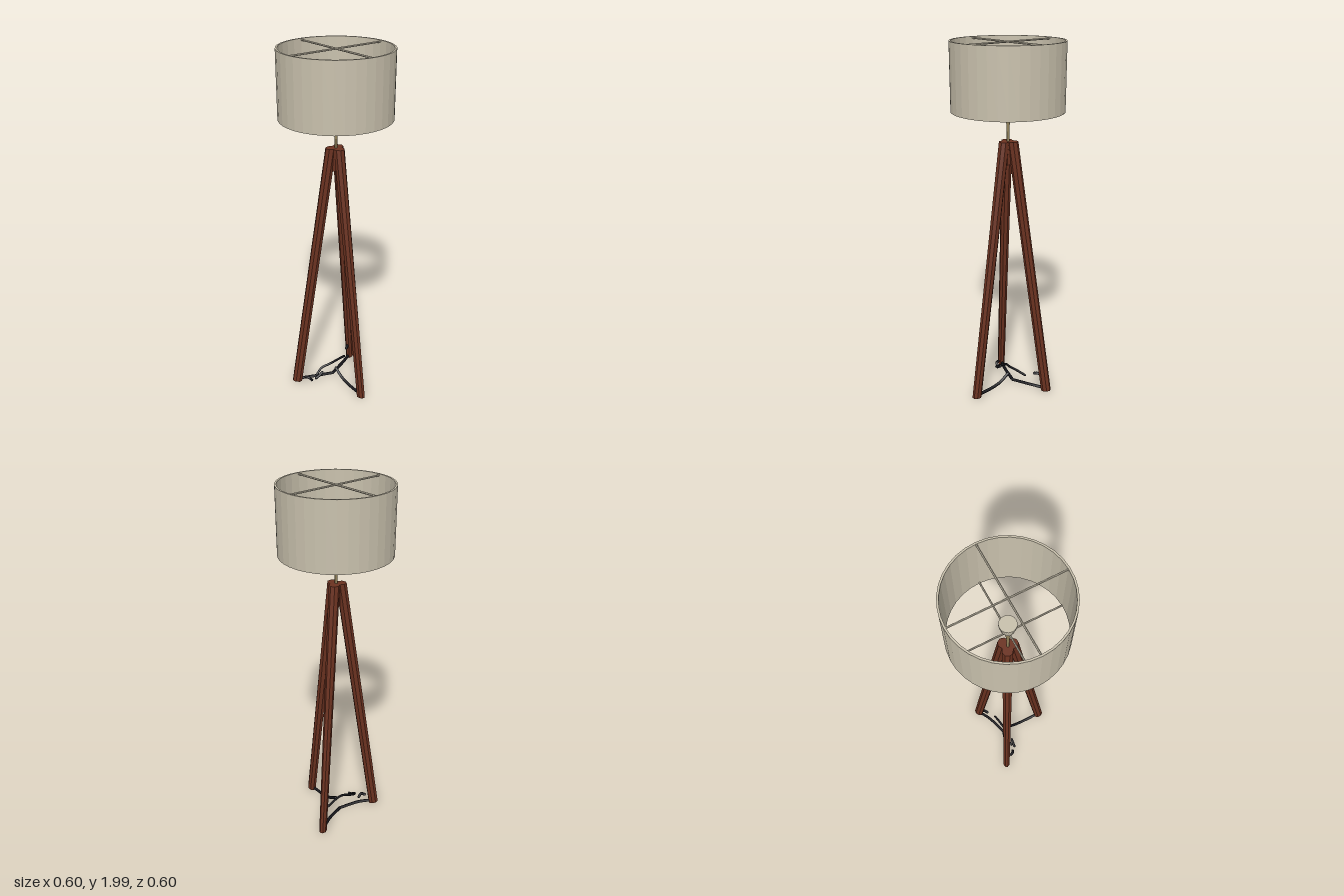
import * as THREE from 'three';

const mat = (name, color, flatShading = false) => {
  const m = new THREE.MeshStandardMaterial({ color, flatShading });
  m.name = name;
  return m;
};

export function createModel() {
  const group = new THREE.Group();
  const cream = mat('cream fabric', 0xc9c1ad, true);
  const wood = mat('red brown wood', 0x6b3220, true);
  const black = mat('black cord', 0x15151a);
  const brass = mat('dull brass', 0x94845c);

  const add = (name, geometry, material) => {
    const mesh = new THREE.Mesh(geometry, material);
    mesh.name = name;
    group.add(mesh);
    return mesh;
  };
  const lathe = (points, sides) =>
    new THREE.LatheGeometry(points.map(([r, y]) => new THREE.Vector2(r, y)), sides);
  const tube = (name, points, radius) => {
    const curve = new THREE.CatmullRomCurve3(points.map((p) => new THREE.Vector3(...p)));
    const mesh = add(name, new THREE.TubeGeometry(curve, 20, radius, 6), black);
    // round the two ends
    [points[0], points[points.length - 1]].forEach((p) => {
      const end = new THREE.Mesh(new THREE.SphereGeometry(radius, 6, 4), black);
      end.name = name + 'End';
      end.position.set(...p);
      mesh.add(end);
    });
  };

  // Open drum shade with a thin wall
  add('shade', lathe([
    [0.288, 1.645], [0.298, 1.645], [0.298, 2.0], [0.288, 2.0], [0.288, 1.645],
  ], 36), cream);

  // Crossed wires in both openings of the shade
  for (const y of [1.652, 1.992]) {
    for (const turn of [0, Math.PI / 2]) {
      const wire = add('shadeWire', new THREE.CylinderGeometry(0.005, 0.005, 0.582, 6), cream);
      wire.rotation.set(Math.PI / 2, 0, turn, 'ZXY');
      if (turn) wire.rotation.set(0, 0, Math.PI / 2);
      wire.position.y = y;
    }
  }

  // Flared stem and bulb holder
  add('stem', lathe([
    [0, 1.42], [0.007, 1.42], [0.007, 1.53], [0.01, 1.59], [0.014, 1.63], [0.02, 1.66], [0, 1.66],
  ], 12), brass);
  add('bulbHolder', lathe([
    [0, 1.655], [0.022, 1.655], [0.034, 1.68], [0.044, 1.725], [0.044, 1.738], [0, 1.738],
  ], 16), cream);

  // Three splayed legs: chamfered bars sheared outwards, slimmer at the foot
  const yFoot = 0.012, yTop = 1.485;
  const legGeometry = new THREE.CylinderGeometry(1, 1, 1, 8, 6);
  legGeometry.rotateY(Math.PI / 8);
  const pos = legGeometry.attributes.position;
  for (let i = 0; i < pos.count; i++) {
    const t = pos.getY(i) + 0.5;
    const radial = THREE.MathUtils.lerp(0.236, 0.027, t);
    const x = pos.getX(i) * 0.029;
    const z = pos.getZ(i) * THREE.MathUtils.lerp(0.021, 0.029, t);
    // the foot is cut square to the leg
    pos.setXYZ(i, radial + x, THREE.MathUtils.lerp(yFoot, yTop, t) + x * 0.14 * (1 - t), z);
  }
  legGeometry.computeVertexNormals();
  for (let i = 0; i < 3; i++) {
    add('leg', legGeometry, wood).rotation.y = (i * Math.PI * 2) / 3;
  }
  // Block joining the legs
  const block = add('legBlock', new THREE.CylinderGeometry(0.032, 0.025, 0.12, 8), wood);
  block.position.y = 1.42;

  // Low three-way brace between the feet
  tube('braceArm', [[0.225, 0.024, 0], [0.13, 0.026, 0], [0.06, 0.04, 0], [0, 0.075, 0]], 0.009);
  for (const side of [-1, 1]) {
    tube('braceArm', [
      [-0.12, 0.022, side * 0.205], [-0.075, 0.026, side * 0.12], [-0.035, 0.018, 0],
    ], 0.009);
  }

  // Loose cord looping over the brace
  tube('cord', [
    [-0.035, 0.06, 0.12], [-0.045, 0.085, 0.075], [-0.03, 0.1, 0.02], [-0.035, 0.1, -0.04], [-0.045, 0.092, -0.1],
  ], 0.007);
  tube('cordEnd', [[-0.018, 0.075, 0.09], [-0.02, 0.06, 0.11], [-0.022, 0.05, 0.135]], 0.008);
  tube('cordEnd', [[-0.045, 0.03, 0.15], [-0.05, 0.05, 0.165], [-0.07, 0.05, 0.175]], 0.009);
  tube('cordEnd', [[-0.08, 0.112, -0.145], [-0.09, 0.115, -0.16], [-0.1, 0.11, -0.17]], 0.009);

  return group;
}
